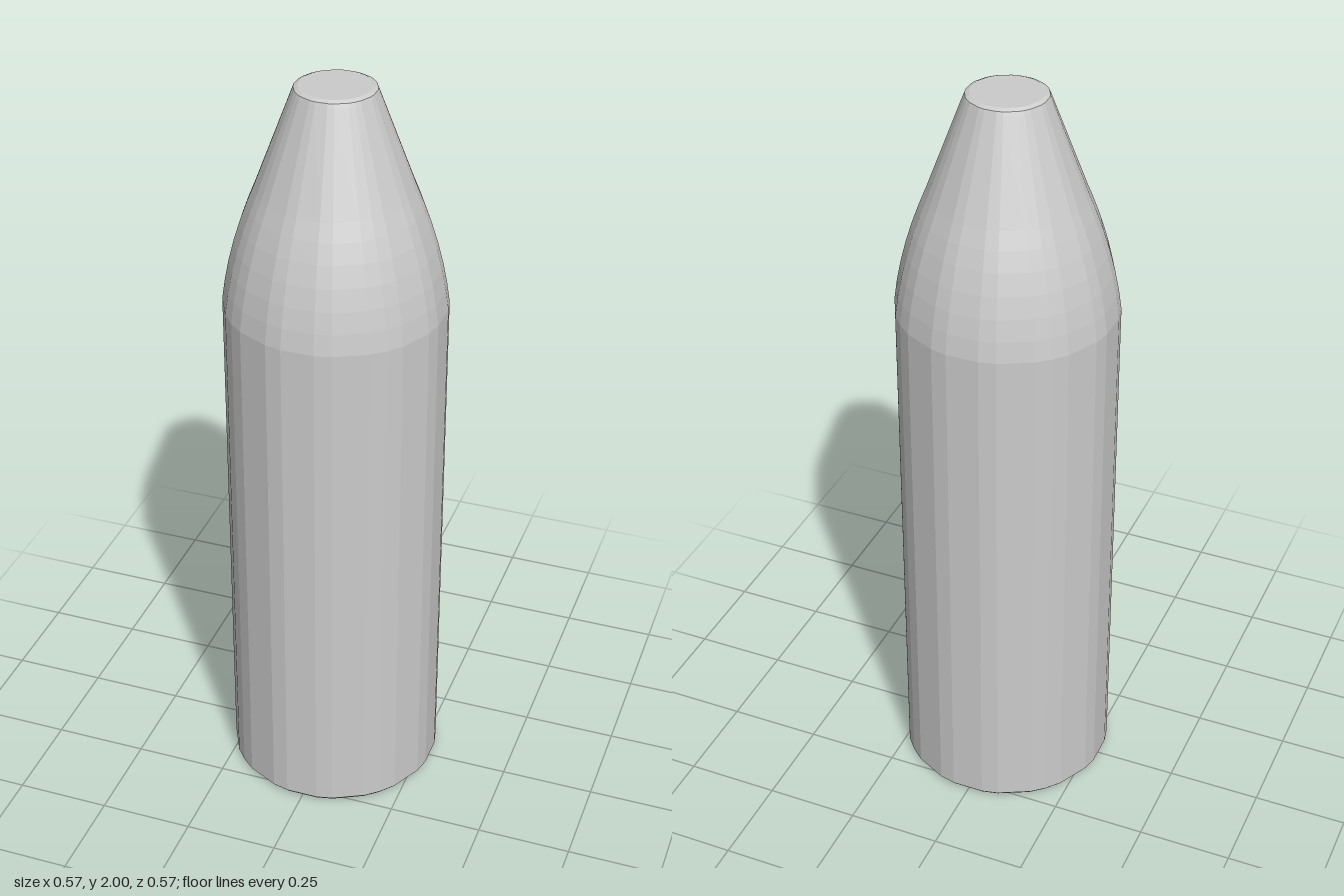
import * as THREE from 'three';

// Uneven facet corners within one quarter turn, in degrees
const QUARTER = [8.6, 17.5, 35.8, 45, 54.2, 72.5, 81.4];

export function createModel() {
  const model = new THREE.Group();
  const material = new THREE.MeshStandardMaterial({ color: 0xcccccc, flatShading: true });

  const angles = [];
  for (let q = 0; q < 4; q++) {
    for (const a of QUARTER) angles.push(THREE.MathUtils.degToRad(a + q * 90));
  }
  angles.push(angles[0] + Math.PI * 2);

  // Turned part whose facets follow the uneven corner angles
  function turned(name, points) {
    const profile = points.map(([r, y]) => new THREE.Vector2(r, y));
    const lathe = new THREE.LatheGeometry(profile, angles.length - 1);
    const pos = lathe.attributes.position;
    for (let i = 0; i < pos.count; i++) {
      const a = angles[Math.floor(i / points.length)];
      const r = points[i % points.length][0];
      pos.setX(i, r * Math.sin(a));
      pos.setZ(i, r * Math.cos(a));
    }
    const geometry = lathe.toNonIndexed();
    geometry.computeVertexNormals();
    const mesh = new THREE.Mesh(geometry, material);
    mesh.name = name;
    model.add(mesh);
  }

  // Straight body with a closed base and a tiny bottom bevel
  turned('body', [[0, 0], [0.277, 0], [0.286, 0.01], [0.286, 1.42]]);

  // Curved shoulder running into a straight taper
  turned('shoulder', [
    [0.286, 1.42], [0.278, 1.475], [0.267, 1.53], [0.253, 1.585],
    [0.236, 1.64], [0.218, 1.69], [0.2, 1.735], [0.106, 1.985],
  ]);

  // Flat tip with a small bevel
  turned('tip', [[0.106, 1.985], [0.102, 1.995], [0.091, 2], [0, 2]]);

  return model;
}
